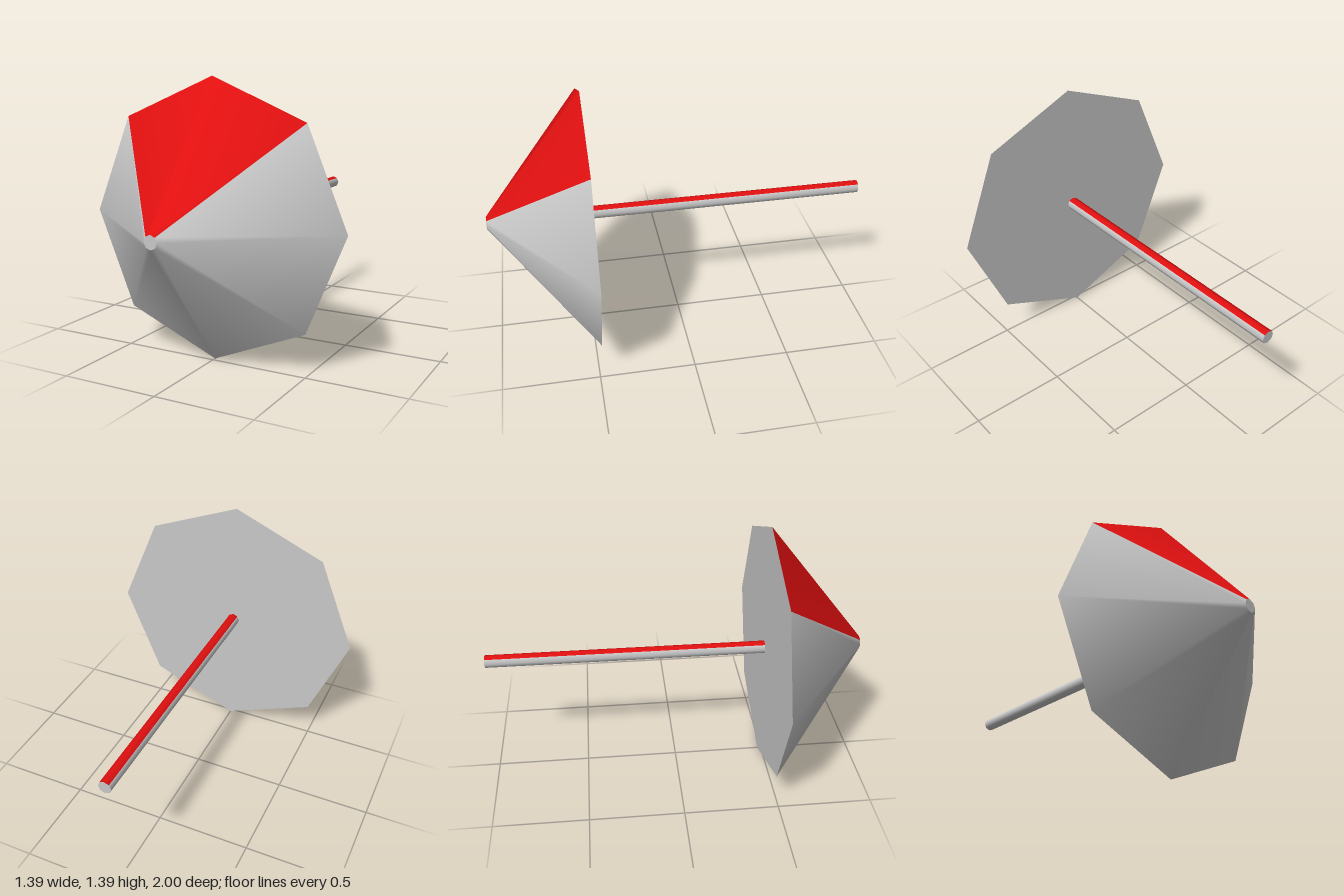
import * as THREE from 'three';

const SIDES = 8;
const CENTER_Y = 0.693;
const RIM_R = 0.693;
const SHAFT_R = 0.034;
const BACK_Z = -1, RIM_Z = 0.48, TIP_Z = 1;

export function createModel() {
  const grey = new THREE.MeshStandardMaterial({ color: 0xc8c8c8 });
  grey.name = 'light grey';
  const red = new THREE.MeshStandardMaterial({ color: 0xe31010 });
  red.name = 'red';

  const model = new THREE.Group();
  model.name = 'parasol';

  const add = (parent, name, geometry, material, z) => {
    const mesh = new THREE.Mesh(geometry, material);
    mesh.name = name;
    mesh.position.z = z;
    parent.add(mesh);
  };

  // Eight-sided tube along z: the top two panels are red, the other six grey
  const addPanels = (parent, name, frontR, backR, z0, z1) => {
    const wall = (start, count) => new THREE.CylinderGeometry(
      frontR, backR, z1 - z0, count, 1, true, start, count * 2 * Math.PI / SIDES
    ).rotateX(Math.PI / 2);
    const mid = (z0 + z1) / 2;
    add(parent, name + 'RedPanels', wall(Math.PI * 0.75, 2), red, mid);
    add(parent, name + 'GreyPanels', wall(Math.PI * 1.25, 6), grey, mid);
  };

  // Flat octagonal end
  const addCap = (parent, name, radius, z, facesBack) => {
    const geometry = new THREE.CircleGeometry(radius, SIDES);
    if (facesBack) geometry.rotateY(Math.PI);
    add(parent, name, geometry, grey, z);
  };

  // Canopy with closed underside and small blunt tip
  const canopy = new THREE.Group();
  canopy.name = 'canopy';
  addPanels(canopy, 'canopy', SHAFT_R, RIM_R, RIM_Z, TIP_Z);
  addCap(canopy, 'canopyTip', SHAFT_R, TIP_Z, false);
  addCap(canopy, 'canopyUnderside', RIM_R, RIM_Z, true);

  // Straight shaft
  const shaft = new THREE.Group();
  shaft.name = 'shaft';
  addPanels(shaft, 'shaft', SHAFT_R, SHAFT_R, BACK_Z, RIM_Z);
  addCap(shaft, 'shaftEnd', SHAFT_R, BACK_Z, true);

  model.add(canopy, shaft);
  for (const part of model.children) part.position.y = CENTER_Y;
  return model;
}
